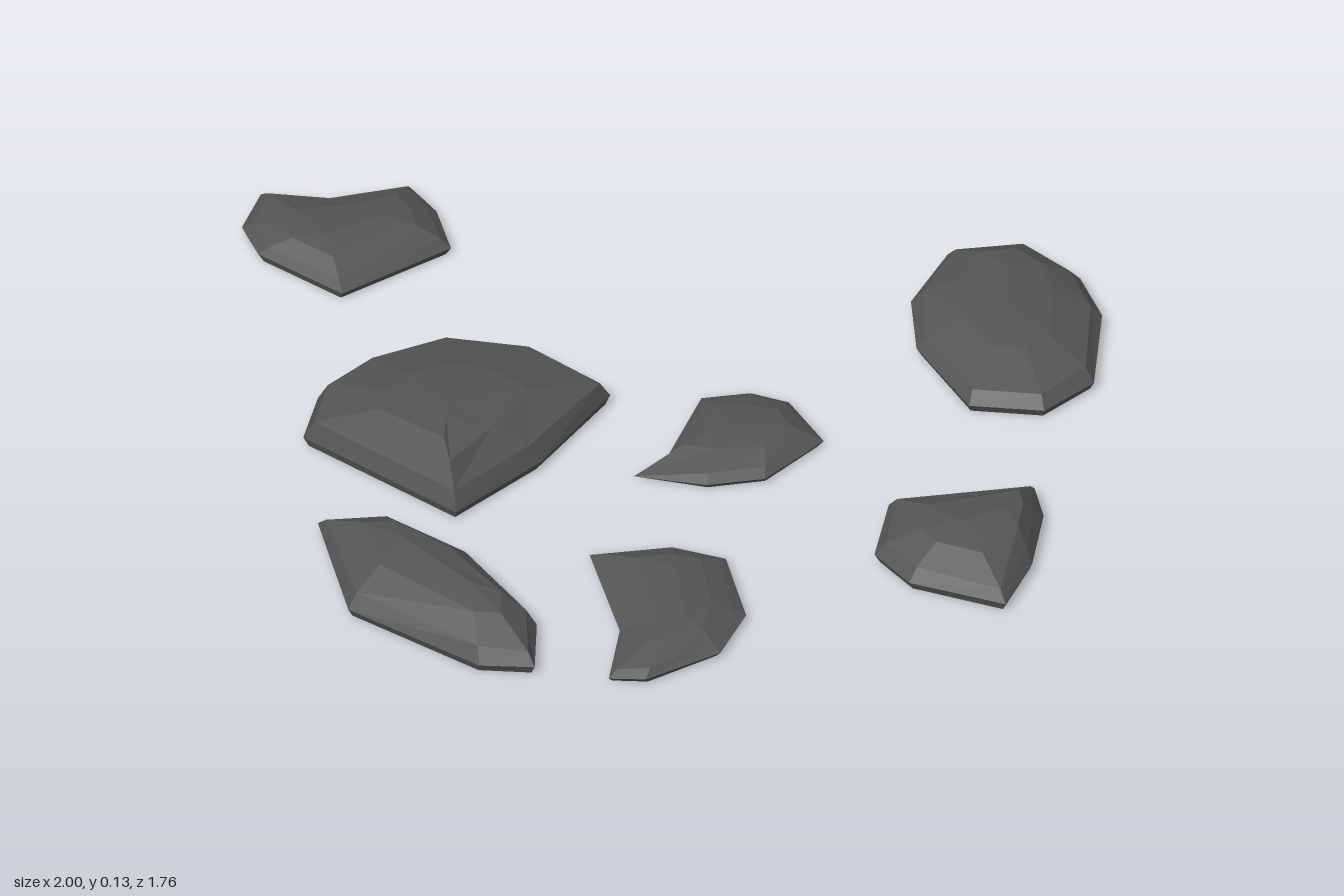
import * as THREE from 'three';

// outline corners [x, z] clockwise from above; crest line from one [x, z] to another at a height
const STONES = [
  { name: 'backRightStone', height: 0.075, crest: [[-.8, -.47], [-.69, -.57]],
    outline: [[-.99, -.64], [-.85, -.66], [-.68, -.75], [-.6, -.68], [-.535, -.56], [-.725, -.34], [-.94, -.43], [-1, -.515]] },
  { name: 'backLeftStone', height: 0.096, crest: [[.69, -.72], [.73, -.58]],
    outline: [[.53, -.815], [.69, -.885], [.835, -.805], [.915, -.69], [.96, -.45], [.88, -.325], [.715, -.3], [.55, -.47], [.495, -.63]] },
  { name: 'largeStone', height: 0.13, crest: [[-.34, .24], [-.36, .12]],
    outline: [[-.455, -.21], [-.255, -.225], [-.06, -.135], [-.145, .135], [-.28, .36], [-.675, .185], [-.68, .04], [-.605, -.09]] },
  { name: 'smallStone', height: 0.056, crest: [[.23, -.06], [.31, -.08]],
    outline: [[.135, -.185], [.235, -.23], [.325, -.22], [.435, -.105], [.345, .06], [.225, .115], [.06, .115], [.115, .055]] },
  { name: 'leftStone', height: 0.1, crest: [[.83, .2], [.91, .13]],
    outline: [[.635, .09], [.93, -.05], [.975, .04], [.995, .215], [.975, .37], [.75, .35], [.65, .27]] },
  { name: 'frontRightStone', height: 0.111, crest: [[-.34, .59], [-.16, .7]],
    outline: [[-.565, .475], [-.425, .435], [-.2, .515], [-.005, .705], [.03, .855], [-.09, .88], [-.42, .76]] },
  { name: 'frontStone', height: 0.055, crest: [[.25, .47], [.31, .62]],
    outline: [[.04, .42], [.21, .35], [.335, .36], [.43, .545], [.41, .69], [.275, .825], [.195, .84], [.175, .67]] },
];

// skins loops from the flat underside, around the belt and over the crown to the crest
function stoneGeometry({ outline, crest, height }) {
  const corners = outline.map(([x, z]) => new THREE.Vector3(x, 0, z));
  const crestLine = new THREE.Line3(...crest.map(([x, z]) => new THREE.Vector3(x, 0, z)));
  const count = corners.length;

  const columns = corners.map((corner, i) => {
    // pointed corners get a lower rim
    const before = corners[(i + count - 1) % count].clone().sub(corner);
    const after = corners[(i + 1) % count].clone().sub(corner);
    const rim = height * 0.52 * Math.min(1, before.angleTo(after) / 1.8);
    const middle = crestLine.closestPointToPoint(corner, true, new THREE.Vector3());
    const distance = corner.distanceTo(middle);
    const inward = (amount, y) => corner.clone().lerp(middle, amount).setY(y);
    return [
      inward(1, 0),
      inward(0.012 / distance, 0),
      inward(0, Math.min(0.022, rim * 0.5)),
      inward(0.025 / distance, rim),
      inward(0.52, rim + (height - rim) * 0.72),
      inward(1, height),
    ];
  });

  const positions = [];
  const addTriangle = (a, b, c) => {
    if (new THREE.Triangle(a, b, c).getArea() > 1e-7) positions.push(...a, ...b, ...c);
  };
  columns.forEach((column, i) => {
    const next = columns[(i + 1) % count];
    for (let k = 0; k < column.length - 1; k++) {
      addTriangle(next[k], column[k], column[k + 1]);
      addTriangle(next[k], column[k + 1], next[k + 1]);
    }
  });
  const geometry = new THREE.BufferGeometry();
  geometry.setAttribute('position', new THREE.Float32BufferAttribute(positions, 3));
  geometry.computeVertexNormals();
  return geometry;
}

export function createModel() {
  const group = new THREE.Group();
  group.name = 'steppingStones';
  const slate = new THREE.MeshStandardMaterial({ color: 0x555555, flatShading: true });
  slate.name = 'slate grey';
  for (const stone of STONES) {
    const mesh = new THREE.Mesh(stoneGeometry(stone), slate);
    mesh.name = stone.name;
    group.add(mesh);
  }
  return group;
}
